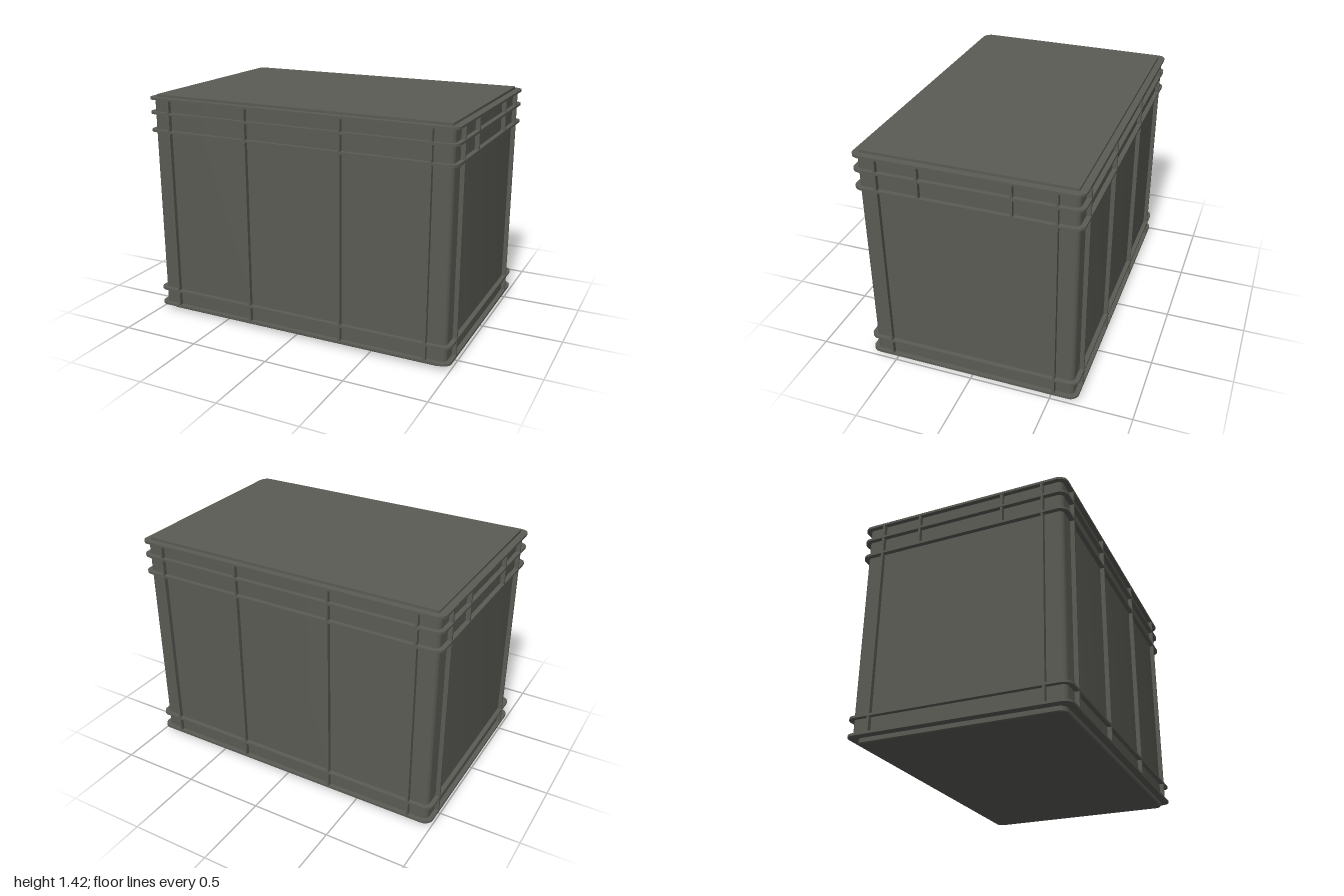
import * as THREE from 'three';
import { toCreasedNormals } from 'three/addons/utils/BufferGeometryUtils.js';

const HX = 1.0, HZ = 0.665; // outer half sizes of the crate
const WALL = 0.028; // depth of the recessed wall behind the ribs
const RIB = 0.014; // rib thickness
const Y0 = 0.032, Y1 = 1.41;

// Horizontal slab with rounded corners, from y = bottom to y = top
function slab(hx, hz, r, bottom, top, bevel = 0) {
  const a = hx - bevel, b = hz - bevel, c = r - bevel;
  const s = new THREE.Shape();
  s.moveTo(-a + c, -b);
  s.lineTo(a - c, -b);
  s.absarc(a - c, -b + c, c, -Math.PI / 2, 0);
  s.absarc(a - c, b - c, c, 0, Math.PI / 2);
  s.absarc(-a + c, b - c, c, Math.PI / 2, Math.PI);
  s.absarc(-a + c, -b + c, c, Math.PI, Math.PI * 1.5);
  const g = new THREE.ExtrudeGeometry(s, {
    depth: top - bottom - 2 * bevel, curveSegments: 8,
    bevelEnabled: bevel > 0, bevelSize: bevel, bevelThickness: bevel, bevelSegments: 1,
  });
  g.rotateX(-Math.PI / 2);
  g.translate(0, bottom + bevel, 0);
  return toCreasedNormals(g, 0.5);
}

export function createModel() {
  const group = new THREE.Group();
  const plastic = new THREE.MeshStandardMaterial({ color: 0x5b5b55 });
  plastic.name = 'greyPlastic';

  const add = (name, geometry) => {
    const mesh = new THREE.Mesh(geometry, plastic);
    mesh.name = name;
    group.add(mesh);
    return mesh;
  };

  // Body, stepped foot and raised top panel
  add('body', slab(HX - WALL, HZ - WALL, 0.03, Y0, Y1 - 0.002));
  add('foot', slab(0.95, 0.62, 0.045, 0, Y0 + 0.01, 0.006));
  add('topPanel', slab(0.957, 0.625, 0.012, Y1 - 0.01, 1.425));

  // Horizontal ribs running all the way round
  add('topRim', slab(HX, HZ, 0.055, Y1 - RIB, Y1));
  add('bottomRim', slab(HX, HZ, 0.055, Y0, Y0 + RIB));
  for (const y of [0.143, 1.202, 1.314]) {
    add('horizontalRib', slab(HX, HZ, 0.055, y - RIB / 2, y + RIB / 2));
  }

  // Vertical ribs, mirrored on opposite walls
  const depth = WALL + 0.01;
  const inset = depth / 2 + 0.002;
  const full = Y1 - Y0 - 0.01, mid = (Y0 + Y1) / 2;
  for (const side of [-1, 1]) {
    for (const x of [-0.85, -0.31, 0.31, 0.85]) {
      add('longWallRib', new THREE.BoxGeometry(RIB, full, depth))
        .position.set(x, mid, side * (HZ - inset));
    }
    for (const z of [-0.52, 0.52]) {
      add('endWallRib', new THREE.BoxGeometry(depth, full, RIB))
        .position.set(side * (HX - inset), mid, z);
    }
    // Short ribs in the bands under the rim
    for (const z of [-0.27, 0.27]) {
      add('shortEndRib', new THREE.BoxGeometry(depth, 0.2, RIB))
        .position.set(side * (HX - inset), 1.302, z);
    }
  }
  return group;
}
